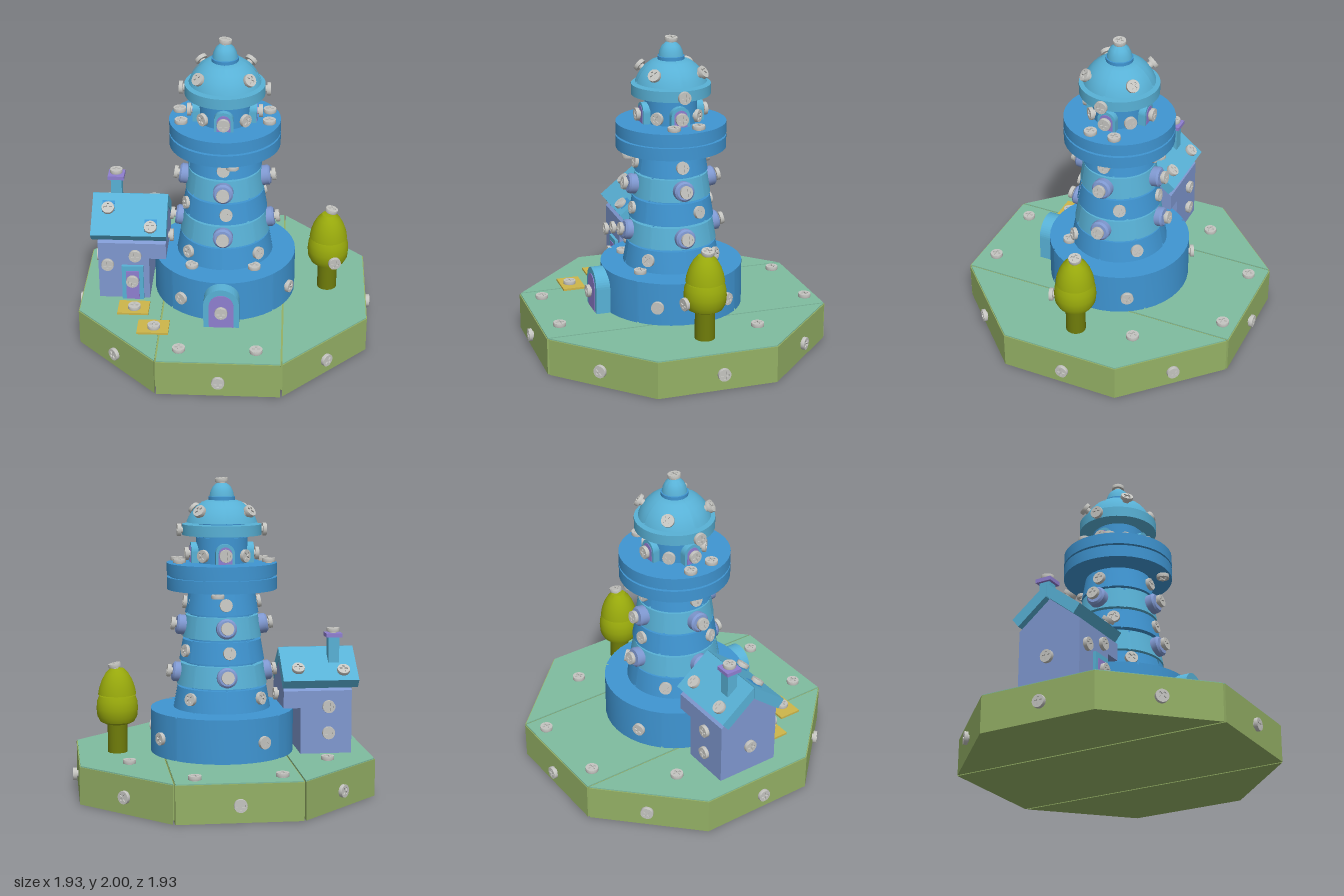
import * as THREE from 'three';
import { mergeGeometries, toCreasedNormals } from 'three/addons/utils/BufferGeometryUtils.js';

const mat = (name, color) => Object.assign(new THREE.MeshStandardMaterial({ color }), { name });
const V = (x, y) => new THREE.Vector2(x, y);
const rad = THREE.MathUtils.degToRad;

export function createModel() {
  const model = new THREE.Group();
  model.name = 'lighthouseIsland';
  const M = {
    olive: mat('oliveGreen', 0x94b065), teal: mat('grassTeal', 0x7fbc9f), blue: mat('blue', 0x3f95d2),
    light: mat('lightBlue', 0x58b1d6), wall: mat('periwinkle', 0x7f98d0), purple: mat('purple', 0x8f7fd0),
    yellow: mat('pathYellow', 0xcdb64a), leaf: mat('leafGreen', 0x98a90c), trunk: mat('trunkGreen', 0x6f7c0a),
    grey: mat('screwGrey', 0xc4c4c0),
  };
  const add = (name, geo, m, x = 0, y = 0, z = 0, parent = model) => {
    const mesh = new THREE.Mesh(geo, m);
    mesh.name = name;
    mesh.position.set(x, y, z);
    parent.add(mesh);
    return mesh;
  };
  const lathe = (pts, n = 32, start = 0, len = Math.PI * 2) =>
    toCreasedNormals(new THREE.LatheGeometry(pts.map(p => V(...p)), n, start, len), 0.6);
  const extrude = (shape, depth) =>
    new THREE.ExtrudeGeometry(shape, { depth, bevelEnabled: false, curveSegments: 12 });
  const poly = pts => new THREE.Shape(pts.map(p => V(...p)));

  // Cross-head screw, pointing along +y
  const a = 0.007, b = 0.026;
  const face = new THREE.Shape().absarc(0, 0, 0.04, 0, Math.PI * 2);
  face.holes.push(new THREE.Path([[a, a], [a, b], [-a, b], [-a, a], [-b, a], [-b, -a],
    [-a, -a], [-a, -b], [a, -b], [a, -a], [b, -a], [b, a]].map(p => V(...p))));
  const rim = extrude(face, 0.009).rotateX(-Math.PI / 2).translate(0, 0.025, 0);
  const head = lathe([[0.022, -0.01], [0.022, 0.01], [0.04, 0.01], [0.041, 0.013], [0.041, 0.028], [0.04, 0.034]], 20);
  const floor = new THREE.CircleGeometry(0.04, 20).rotateX(-Math.PI / 2).translate(0, 0.025, 0).toNonIndexed();
  const screwGeo = mergeGeometries([rim, head, floor]);
  const up = new THREE.Vector3(0, 1, 0);
  const aim = (mesh, nx, ny, nz) =>
    mesh.quaternion.setFromUnitVectors(up, new THREE.Vector3(nx, ny, nz).normalize());
  const screw = (x, y, z, nx, ny, nz) => aim(add('screw', screwGeo, M.grey, x, y, z), nx, ny, nz);
  const ringScrews = (r, y, degs, ny = 0) => degs.forEach(d => {
    const s = Math.sin(rad(d)), c = Math.cos(rad(d));
    screw(r * s, y, r * c, s, ny, c);
  });
  const quarters = [0, 90, 180, 270], diagonals = [45, 135, 225, 315];

  // Round part made of sectors with narrow seams over a slightly smaller core
  const round = (name, profile, m, seams = 0, offset = 0) => {
    const g = new THREE.Group();
    g.name = name;
    model.add(g);
    const y0 = profile[0][1], top = profile[profile.length - 1][1];
    const closed = [[0, y0], ...profile, [0, top]];
    if (!seams) return add(name + 'Body', lathe(closed, 40), m, 0, 0, 0, g);
    const core = closed.map(([r, y]) => [Math.max(0, r - 0.01), Math.min(y, top - 0.008)]);
    add(name + 'Core', lathe(core, 40), m, 0, 0, 0, g);
    const gap = 0.006 / profile[0][0], step = Math.PI * 2 / seams;
    for (let i = 0; i < seams; i++)
      add(name + 'Sector', lathe(closed, Math.round(40 / seams), rad(offset) + i * step + gap, step - 2 * gap), m, 0, 0, 0, g);
  };

  // Octagonal base in three slabs
  const e = 0.93, k = 0.385, h = 0.397;
  const slabs = [
    [[-k, -e], [k, -e], [k, e], [-k, e]],
    [[h, -e + 0.008], [e, -k], [e, k], [h, e - 0.008]],
    [[-h, e - 0.008], [-e, k], [-e, -k], [-h, -e + 0.008]],
  ];
  for (const s of slabs) {
    add('baseSlab', extrude(poly(s), 0.236).rotateX(-Math.PI / 2), M.olive);
    add('grass', extrude(poly(s.map(([x, y]) => [x * 0.993, y * 0.993])), 0.008).rotateX(-Math.PI / 2), M.teal, 0, 0.235, 0);
  }
  add('baseCore', new THREE.BoxGeometry(0.84, 0.215, 1.74), M.olive, 0, 0.12, 0);
  for (const [x, z] of [[-0.27, -0.82], [0.26, -0.84], [-0.62, -0.41], [0.62, -0.37], [-0.25, 0.81], [0.23, 0.81]])
    screw(x, 0.24, z, 0, 1, 0);
  for (const s of [-1, 1]) {
    screw(s * e, 0.11, -s * 0.03, s, 0, 0);
    screw(0, 0.11, s * e, 0, 0, s);
    for (const t of [-1, 1]) screw(s * 0.657, 0.11, t * 0.657, s, 0, t);
  }

  // Tower drum and tapering tiers
  round('drum', [[0.46, 0.243], [0.46, 0.522]], M.blue, 4, 45);
  ringScrews(0.46, 0.37, [-33, 62, 120, -153]);
  const tiers = [[0.53, 0.67, 0.312, 0.287], [0.683, 0.82, 0.29, 0.266], [0.838, 0.973, 0.273, 0.25],
    [0.988, 1.128, 0.253, 0.232], [1.142, 1.283, 0.235, 0.211]];
  tiers.forEach(([y0, y1, r0, r1], i) =>
    round('towerTier', [[r0, y0], [r1, y1]], i % 2 ? M.light : M.blue, 4, [0, 45, 35, 40, 15][i]));
  add('towerCore', new THREE.CylinderGeometry(0.19, 0.26, 0.8, 32), M.blue, 0, 0.9, 0);
  ringScrews(0.295, 0.61, diagonals, 0.15);
  for (const x of [-0.2, 0.2]) screw(x, 0.517, 0.27, 0, 1, 0);
  ringScrews(0.245, 0.905, [4, 114, 184, 294], 0.15);
  ringScrews(0.216, 1.205, quarters, 0.15);

  // Portholes on the light tiers
  const portGeo = lathe([[0.064, -0.03], [0.064, 0.038], [0.052, 0.05], [0, 0.05]], 24);
  for (const [y, r] of [[0.755, 0.27], [1.06, 0.242]]) {
    for (const d of quarters) {
      const s = Math.sin(rad(d)), c = Math.cos(rad(d));
      aim(add('porthole', portGeo, M.wall, r * s, y, r * c), s, 0.15, c);
    }
    ringScrews(r + 0.05, y + 0.008, quarters, 0.15);
  }

  // Gallery
  round('galleryLower', [[0.352, 1.292], [0.352, 1.37]], M.blue);
  add('galleryGap', new THREE.CylinderGeometry(0.33, 0.33, 0.03, 32), M.blue, 0, 1.377, 0);
  round('galleryUpper', [[0.352, 1.383], [0.352, 1.46]], M.blue);
  for (const [x, z] of [[-0.29, -0.08], [-0.27, 0.09], [0.28, -0.09], [0.28, 0.07]]) screw(x, 1.457, z, 0, 1, 0);
  for (const z of [-0.3, 0.3]) screw(0.06, 1.294, z, 0, -1, 0);

  // Lantern room with four arched windows
  const arch = (w, height) => new THREE.Shape().moveTo(-w, 0).lineTo(w, 0).lineTo(w, height - w)
    .absarc(0, height - w, w, 0, Math.PI).lineTo(-w, 0);
  round('lantern', [[0.165, 1.46], [0.165, 1.622]], M.blue);
  for (const d of quarters) {
    const g = new THREE.Group();
    g.name = 'lanternWindow';
    g.rotation.y = rad(d);
    model.add(g);
    add('windowFrame', extrude(arch(0.06, 0.13), 0.05), M.light, 0, 1.46, 0.15, g);
    add('windowPane', extrude(arch(0.043, 0.108), 0.004), M.purple, 0, 1.462, 0.199, g);
  }
  ringScrews(0.203, 1.517, quarters);
  ringScrews(0.168, 1.51, diagonals);

  // Roof rim, dome and finial
  add('lanternNeck', new THREE.CylinderGeometry(0.15, 0.15, 0.13, 32), M.blue, 0, 1.67, 0);
  round('roofRim', [[0.252, 1.636], [0.252, 1.704]], M.light);
  for (const s of [-1, 1]) screw(s * 0.252, 1.668, 0, s, 0, 0);
  round('dome', [[0.226, 1.716], [0.215, 1.745], [0.195, 1.78], [0.165, 1.815], [0.125, 1.845], [0.09, 1.857]], M.light, 4);
  ringScrews(0.205, 1.78, diagonals, 0.7);
  round('finialRing', [[0.085, 1.855], [0.085, 1.878]], M.blue);
  round('finial', [[0.078, 1.88], [0.072, 1.91], [0.057, 1.94], [0.035, 1.96], [0.015, 1.966]], M.light);
  screw(0, 1.962, 0, 0.1, 1, -0.05);

  // Tower door
  add('doorFrame', extrude(arch(0.113, 0.277), 0.1), M.light, 0, 0.243, 0.437);
  add('doorPanel', extrude(arch(0.078, 0.235), 0.005), M.purple, 0, 0.245, 0.536);
  screw(0, 0.365, 0.54, 0, 0, 1);

  // Cottage
  const alongX = (pts, len) => extrude(poly(pts), len).rotateY(Math.PI / 2);
  add('cottageLower', new THREE.BoxGeometry(0.33, 0.3, 0.42), M.wall, -0.647, 0.393, 0);
  add('cottageUpper', alongX([[-0.21, 0.54], [0.21, 0.54], [0.21, 0.65], [0, 0.82], [-0.21, 0.65]], 0.44), M.wall, -0.812, 0, 0);
  add('roofBack', alongX([[0.002, 0.82], [0.192, 0.665], [0.235, 0.72], [0.002, 0.905]], 0.487), M.light, -0.855, 0, 0);
  add('roofFront', alongX([[-0.002, 0.905], [-0.235, 0.72], [-0.192, 0.665], [-0.002, 0.82]], 0.487), M.light, -0.855, 0, 0);
  const roofY = z => 0.905 - Math.abs(z) * 0.787;
  for (const [x, z] of [[-0.76, -0.18], [-0.47, -0.165], [-0.75, 0.09], [-0.47, 0.19]]) {
    screw(x, roofY(z), z, 0, 1, Math.sign(z) * 0.787);
    if (z > 0) aim(add('skylight', new THREE.BoxGeometry(0.08, 0.008, 0.08), M.blue, x, roofY(z - 0.015), z - 0.015), 0, 1, 0.787);
  }
  add('chimney', new THREE.BoxGeometry(0.07, 0.17, 0.07), M.light, -0.71, 0.9, -0.085);
  add('chimneyCap', new THREE.BoxGeometry(0.105, 0.025, 0.105), M.purple, -0.71, 0.993, -0.085);
  screw(-0.71, 1.003, -0.085, 0, 1, 0);
  add('cottageDoorFrame', new THREE.BoxGeometry(0.14, 0.25, 0.03), M.light, -0.59, 0.365, 0.215);
  add('cottageDoorPanel', new THREE.BoxGeometry(0.085, 0.21, 0.006), M.purple, -0.59, 0.35, 0.231);
  screw(-0.59, 0.39, 0.232, 0, 0, 1);
  screw(-0.75, 0.5, 0.21, 0, 0, 1);
  screw(-0.57, 0.57, 0.21, 0, 0, 1);
  screw(-0.812, 0.44, 0, -1, 0, 0);
  screw(-0.372, 0.6, 0, 1, 0, 0);
  for (const y of [0.38, 0.55]) screw(-0.66, y, -0.21, 0, 0, -1);

  // Path tiles
  for (const [x, z] of [[-0.575, 0.35], [-0.43, 0.568]]) {
    add('pathTile', new THREE.BoxGeometry(0.2, 0.014, 0.148), M.yellow, x, 0.252, z);
    screw(x + 0.005, 0.247, z + 0.01, 0, 1, 0);
  }

  // Tree
  add('treeTrunk', new THREE.CylinderGeometry(0.063, 0.063, 0.21, 24), M.trunk, 0.675, 0.345, 0);
  add('crownLower', lathe([[0, 0.43], [0.08, 0.43], [0.11, 0.445], [0.128, 0.48], [0.133, 0.53], [0.128, 0.58],
    [0.115, 0.612], [0, 0.612]]), M.leaf, 0.675, 0, 0);
  add('crownUpper', lathe([[0, 0.62], [0.122, 0.62], [0.115, 0.66], [0.098, 0.71], [0.073, 0.755], [0.045, 0.785],
    [0, 0.795]]), M.leaf, 0.675, 0, 0);
  screw(0.685, 0.787, -0.01, 0.25, 1, 0);
  screw(0.711, 0.5, 0.124, 0.28, -0.05, 1);
  return model;
}
